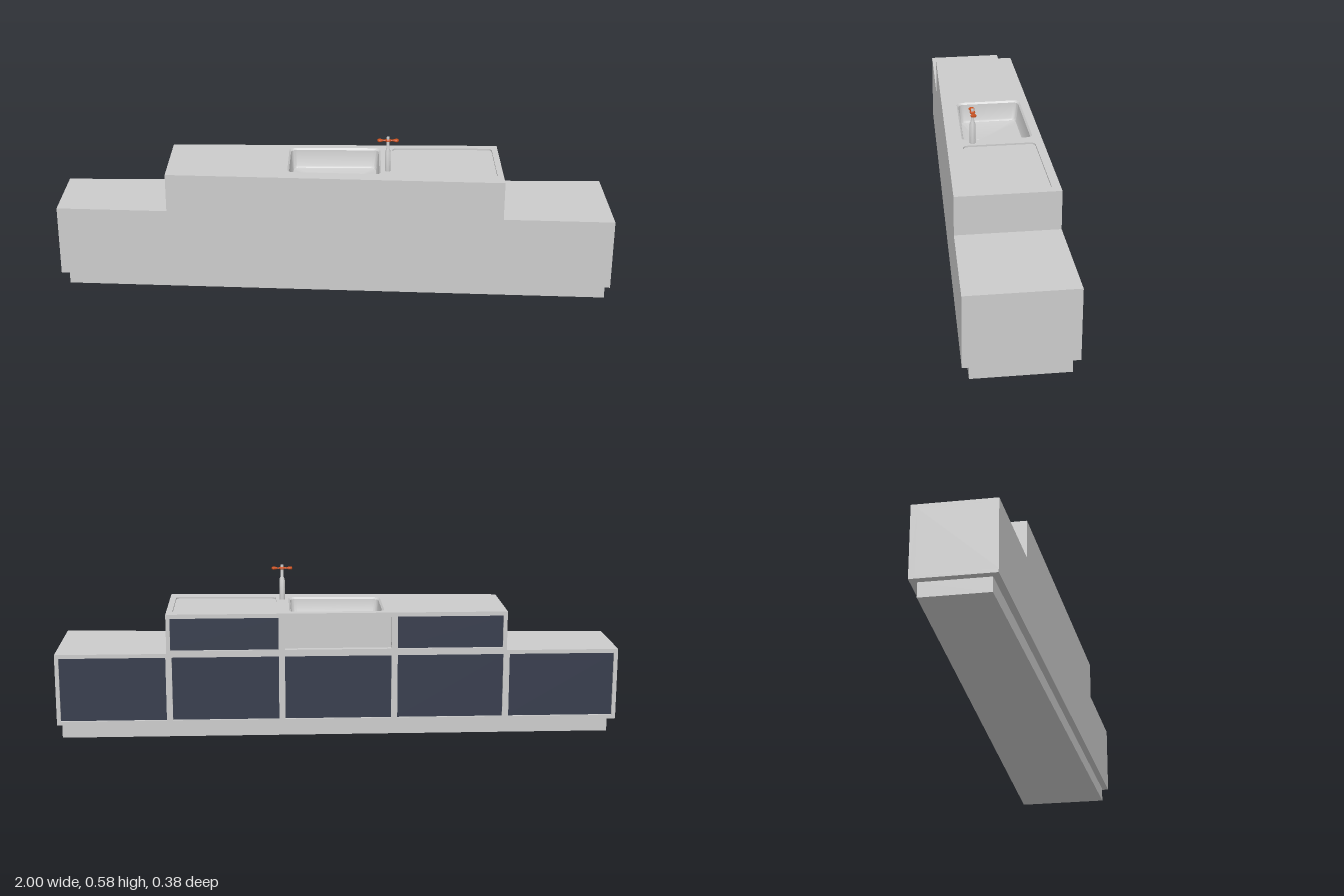
import * as THREE from 'three';
import { toCreasedNormals } from 'three/addons/utils/BufferGeometryUtils.js';

const grey = new THREE.MeshStandardMaterial({ color: 0xcccccc });
const greyDouble = new THREE.MeshStandardMaterial({ color: 0xcccccc, side: THREE.DoubleSide });
const dark = new THREE.MeshStandardMaterial({ color: 0x363c4c });
const orange = new THREE.MeshStandardMaterial({ color: 0xc8501e });

const BACK = -0.19, CORE = -0.168, PANEL = -0.182;
// the front runs at a slant along the whole counter
const front = (x) => 0.138 + 0.05 * x;

// four-sided outline in (x, z) whose front edge follows the slant
function outline(x0, x1, back, inset = 0, r = 0, Type = THREE.Shape) {
  const c = [[x0, back], [x1, back], [x1, front(x1) - inset], [x0, front(x0) - inset]]
    .map(([x, z]) => new THREE.Vector2(x, z));
  const s = new Type();
  c.forEach((p, i) => {
    if (!r) return i ? s.lineTo(p.x, p.y) : s.moveTo(p.x, p.y);
    const toward = (q) => q.clone().sub(p).setLength(r).add(p);
    const a = toward(c[(i + 3) % 4]), b = toward(c[(i + 1) % 4]);
    if (i) s.lineTo(a.x, a.y); else s.moveTo(a.x, a.y);
    s.quadraticCurveTo(p.x, p.y, b.x, b.y);
  });
  s.closePath();
  return s;
}

export function createModel() {
  const model = new THREE.Group();
  model.name = 'sinkCounter';

  const add = (name, geo, mat, x = 0, y = 0, z = 0, parent = model) => {
    const m = new THREE.Mesh(geo, mat);
    m.name = name;
    m.position.set(x, y, z);
    parent.add(m);
    return m;
  };
  // horizontal slab between two heights
  const slab = (name, shape, y0, y1, holes = []) => {
    shape.holes.push(...holes);
    const g = new THREE.ExtrudeGeometry(shape, { depth: y1 - y0, bevelEnabled: false, curveSegments: 8 });
    g.rotateX(Math.PI / 2);
    return add(name, g, grey, 0, y1, 0);
  };
  // box given by its limits
  const block = (name, mat, x0, x1, y0, y1, z0, z1) =>
    add(name, new THREE.BoxGeometry(x1 - x0, y1 - y0, z1 - z0), mat, (x0 + x1) / 2, (y0 + y1) / 2, (z0 + z1) / 2);

  // plinth and lower cabinet
  slab('plinth', outline(-0.975, 0.985, -0.167, 0.023), 0, 0.052);
  slab('lowerBottomBoard', outline(-1, 1, BACK), 0.052, 0.066);
  slab('lowerCabinet', outline(-1, 1, CORE), 0.066, 0.296);
  slab('lowerTopBoard', outline(-1, 1, BACK), 0.296, 0.31);

  // upper cabinet and worktop, open for the basin and the shallow drainer
  const UX0 = -0.6, UX1 = 0.607;
  const sink = (d = 0, r = 0.025, Type = THREE.Path) =>
    outline(-0.165 + d, 0.172 - d, -0.16 + d, 0.055 + d, r, Type);
  const drainer = outline(0.217, 0.585, -0.16, 0.055, 0.02, THREE.Path);
  slab('upperBottomBoard', outline(UX0, UX1, BACK), 0.31, 0.32);
  slab('upperCabinet', outline(UX0, UX1, CORE), 0.32, 0.436, [sink()]);
  slab('worktopBase', outline(UX0, UX1, BACK), 0.436, 0.445, [sink()]);
  slab('worktop', outline(UX0, UX1, BACK), 0.445, 0.451, [sink(), drainer]);

  // basin lofted from rim to drain
  const rings = [[0, 0.451], [0.006, 0.445], [0.012, 0.385], [0.016, 0.378], [0.024, 0.375]].map(([d, y]) => {
    const pts = sink(d, 0.025 - d * 0.3, THREE.Path).getPoints(8);
    if (pts[0].distanceTo(pts[pts.length - 1]) < 1e-6) pts.pop();
    return pts.map((p) => [p.x, y, p.y]);
  });
  const n = rings[0].length;
  rings.push(rings[0].map(() => [0.005, 0.37, 0.015]));
  const index = [];
  for (let k = 0; k < rings.length - 1; k++) {
    for (let i = 0; i < n; i++) {
      const a = k * n + i, b = k * n + (i + 1) % n;
      index.push(a, a + n, b);
      if (k < rings.length - 2) index.push(b, a + n, b + n);
    }
  }
  const basin = new THREE.BufferGeometry();
  basin.setAttribute('position', new THREE.Float32BufferAttribute(rings.flat(2), 3));
  basin.setIndex(index);
  add('basin', toCreasedNormals(basin, 0.6), greyDouble);
  const drain = add('drainRing', new THREE.TorusGeometry(0.01, 0.002, 8, 24), grey, 0.005, 0.372, 0.015);
  drain.rotation.x = Math.PI / 2;
  add('drainPlug', new THREE.CylinderGeometry(0.009, 0.009, 0.003, 24), grey, 0.005, 0.371, 0.015);

  // uprights and recessed panels on the back
  const uprights = (name, xs, y0, y1) => xs.forEach((x, i) => {
    const last = xs.length - 1, w = 0.022;
    const x0 = i === 0 ? x : i === last ? x - 0.014 : x - w / 2;
    block(name, grey, x0, x0 + (i === 0 || i === last ? 0.014 : w), y0, y1, BACK, CORE);
  });
  const lowerX = [-1, -0.6, -0.2, 0.2, 0.6, 1], upperX = [UX0, -0.2, 0.2, UX1];
  uprights('lowerUpright', lowerX, 0.066, 0.296);
  uprights('upperUpright', upperX, 0.32, 0.436);
  for (let i = 0; i < 5; i++) {
    block('lowerPanel', dark, lowerX[i] + 0.005, lowerX[i + 1] - 0.005, 0.066, 0.296, PANEL, CORE);
  }
  // the middle bay behind the basin stays grey and deeper
  for (const i of [0, 2]) {
    block('upperPanel', dark, upperX[i] + 0.005, upperX[i + 1] - 0.005, 0.32, 0.436, PANEL, CORE);
  }

  // tap: turned column with a flat cross handle
  const tap = new THREE.Group();
  tap.name = 'tap';
  tap.position.set(0.195, 0.45, 0.057);
  model.add(tap);
  const turned = (pts, seg) =>
    toCreasedNormals(new THREE.LatheGeometry(pts.map(([r, y]) => new THREE.Vector2(r, y)), seg), 0.5);
  add('tapColumn', turned([[0, 0], [0.01, 0], [0.01, 0.073], [0.0085, 0.079], [0.0058, 0.086],
    [0.0055, 0.13], [0, 0.13]], 24), grey, 0, 0, 0, tap);
  const handle = turned([[0, -0.038], [0.007, -0.037], [0.0105, -0.032], [0.0095, -0.026], [0.0045, -0.016],
    [0.005, -0.01], [0.0095, -0.005], [0.0095, 0.005], [0.005, 0.01], [0.0045, 0.016],
    [0.0095, 0.026], [0.0105, 0.032], [0.007, 0.037], [0, 0.038]], 16);
  handle.rotateZ(-Math.PI / 2);
  handle.scale(1, 0.6, 1);
  add('tapHandle', handle, orange, 0, 0.117, 0, tap);

  return model;
}
